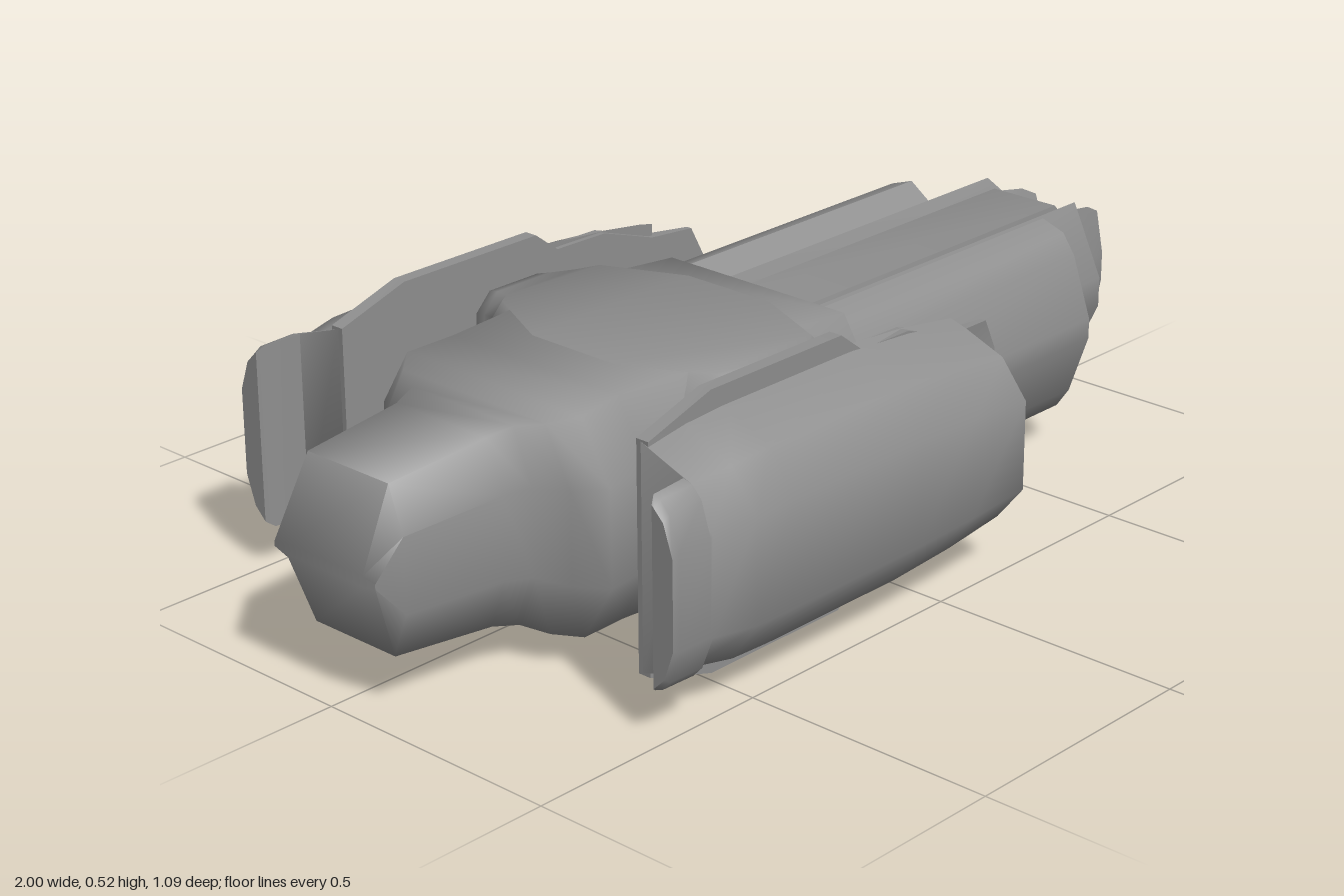
import * as THREE from 'three';
import { toCreasedNormals } from 'three/addons/utils/BufferGeometryUtils.js';

const material = new THREE.MeshStandardMaterial({ color: 0x8f8f8f });

// Closed skin through rings of [x, y, z] points, capped at both ends.
function loft(rings, crease = 0.6) {
  const n = rings[0].length, pos = rings.flat(2), index = [];
  for (let r = 0; r < rings.length - 1; r++) {
    for (let i = 0; i < n; i++) {
      const a = r * n + i, b = r * n + (i + 1) % n;
      index.push(a, b, a + n, b, b + n, a + n);
    }
  }
  for (const [ring, start, last] of [[rings[0], 0, false], [rings.at(-1), (rings.length - 1) * n, true]]) {
    const c = pos.length / 3;
    for (let k = 0; k < 3; k++) pos.push(ring.reduce((s, p) => s + p[k], 0) / n);
    for (let i = 0; i < n; i++) {
      const a = start + i, b = start + (i + 1) % n;
      if (last) index.push(a, b, c); else index.push(b, a, c);
    }
  }
  // A negative volume means the skin is inside out.
  let volume = 0;
  const v = i => new THREE.Vector3().fromArray(pos, i * 3);
  for (let i = 0; i < index.length; i += 3) {
    volume += v(index[i]).dot(v(index[i + 1]).cross(v(index[i + 2])));
  }
  if (volume < 0) index.reverse();
  const g = new THREE.BufferGeometry();
  g.setAttribute('position', new THREE.Float32BufferAttribute(pos, 3));
  g.setIndex(index);
  return toCreasedNormals(g, crease);
}

// Eight-sided section across the x axis.
function octagon(x, w, h, flat = 0.76, side = 0.45) {
  const quarter = [[w, h * side], [w * flat, h]];
  const top = [...quarter, ...quarter.map(([z, y]) => [-z, y]).reverse()];
  return [...top, ...top.map(([z, y]) => [z, -y]).reverse()].map(([z, y]) => [x, y, z]);
}

function add(parent, name, geometry) {
  const mesh = new THREE.Mesh(geometry, material);
  mesh.name = name;
  parent.add(mesh);
}

// Parts of one side; the other side is the same turned half round the x axis.
function buildSide(name) {
  const side = new THREE.Group();
  side.name = name;

  // Armour plate on the inside of the pod, thinning to its front edge
  const half = [[-0.63, 0.215], [-0.48, 0.262], [-0.15, 0.262], [-0.095, 0.22], [0.03, 0.218],
    [0.1, 0.195], [0.16, 0.175], [0.27, 0.165], [0.305, 0.1]];
  const outline = [...half, ...half.map(([x, y]) => [x, -y]).reverse()];
  add(side, 'podPlate', loft([
    outline.map(([x, y]) => [x, y, 0.36]),
    outline.map(([x, y]) => [x, y, 0.387 - Math.max(0, x - 0.16) * 0.14]),
  ], 0.4));

  // Pod shell, whose outer skin overhangs at the back
  const podRing = (x, outer, s) => [x, [[0.37, 0.23 * s], [0.405, 0.218 * s], [outer - 0.055, 0.18 * s], [outer, 0.1 * s]]];
  const tailRing = (x, inner, h) => [x, [[inner, h], [0.49, h * 0.97], [0.51, h * 0.85], [0.53, h * 0.5]]];
  add(side, 'podShell', loft([
    tailRing(-0.725, 0.485, 0.165), tailRing(-0.71, 0.475, 0.176), tailRing(-0.635, 0.47, 0.178),
    podRing(-0.63, 0.53, 0.92), podRing(-0.54, 0.545, 0.98), podRing(-0.45, 0.545, 1),
    podRing(-0.12, 0.545, 1), podRing(0.03, 0.545, 0.95), podRing(0.17, 0.545, 0.86),
  ].map(([x, p]) => [...p, ...p.map(([z, y]) => [z, -y]).reverse()].map(([z, y]) => [x, y, z])), 0.9));

  // Crescent-shaped outer prong
  const crescent = [[0.12, 0.165], [0.165, 0.197], [0.215, 0.18], [0.243, 0.14], [0.285, 0.02],
    [0.285, -0.02], [0.243, -0.14], [0.215, -0.18], [0.165, -0.197], [0.12, -0.165], [0.175, 0]];
  const shape = new THREE.Shape(crescent.map(([z, y]) => new THREE.Vector2(-z, y)));
  const prong = new THREE.ExtrudeGeometry(shape, { depth: 0.705, bevelEnabled: false });
  prong.rotateY(Math.PI / 2);
  add(side, 'outerProng', toCreasedNormals(prong, 0.7));

  // Kite-shaped inner prong with a narrow tip
  const kite = (x, inner, mid, outer, h) =>
    [[mid, h], [outer, 0.03], [outer, -0.03], [mid, -h], [inner, -0.02], [inner, 0.02]].map(([z, y]) => [x, y, z]);
  add(side, 'innerProng', loft([
    kite(0, 0.05, 0.11, 0.178, 0.172), kite(0.88, 0.05, 0.11, 0.178, 0.172),
    kite(0.9, 0.045, 0.088, 0.108, 0.145), kite(0.96, 0.045, 0.083, 0.102, 0.135),
    kite(1, 0.045, 0.078, 0.095, 0.115),
  ], 0.6));
  return side;
}

export function createModel() {
  const model = new THREE.Group();
  model.name = 'spacecraft';
  const ship = new THREE.Group();
  ship.name = 'ship';
  ship.position.y = 0.262;
  model.add(ship);

  // Main hull: [x, half width, half height]
  add(ship, 'hull', loft([
    [-1, 0.125, 0.01], [-0.94, 0.13, 0.157], [-0.73, 0.145, 0.175], [-0.68, 0.165, 0.185],
    [-0.655, 0.23, 0.195], [-0.61, 0.28, 0.205], [-0.51, 0.267, 0.21], [-0.38, 0.283, 0.21],
    [-0.33, 0.295, 0.21], [-0.09, 0.295, 0.21], [-0.05, 0.285, 0.207], [0.06, 0.28, 0.198],
  ].map(([x, w, h]) => octagon(x, w, h)), 1.3));

  // Cross pylon that carries both pods: [z, back x, front x, half height]
  const pylonHalf = [[0.365, -0.305, -0.115, 0.185], [0.33, -0.315, -0.11, 0.195], [0.285, -0.335, -0.085, 0.206],
    [0.26, -0.37, -0.05, 0.211], [0.1, -0.45, 0.02, 0.211]];
  const pylon = [...pylonHalf, ...pylonHalf.map(([z, ...r]) => [-z, ...r]).reverse()];
  add(ship, 'pylon', loft(pylon.map(([z, x0, x1, h]) => {
    const c = 0.035;
    return [[x0, h - c], [x0 + c, h], [x1 - c, h], [x1, h - c], [x1, c - h], [x1 - c, -h], [x0 + c, -h], [x0, c - h]]
      .map(([x, y]) => [x, y, z]);
  }), 1.3));

  // Central barrel between the prongs, with a rounded nose
  add(ship, 'barrel', loft([octagon(0, 0.1, 0.162), octagon(0.86, 0.1, 0.162), octagon(0.89, 0.085, 0.14)], 0.9));
  const dome = new THREE.SphereGeometry(1, 28, 18);
  dome.scale(0.13, 0.1, 0.075);
  dome.translate(0.86, 0, 0);
  add(ship, 'noseDome', dome);

  const frontSide = buildSide('frontSide');
  const backSide = buildSide('backSide');
  backSide.rotation.x = Math.PI;
  ship.add(frontSide, backSide);
  return model;
}
